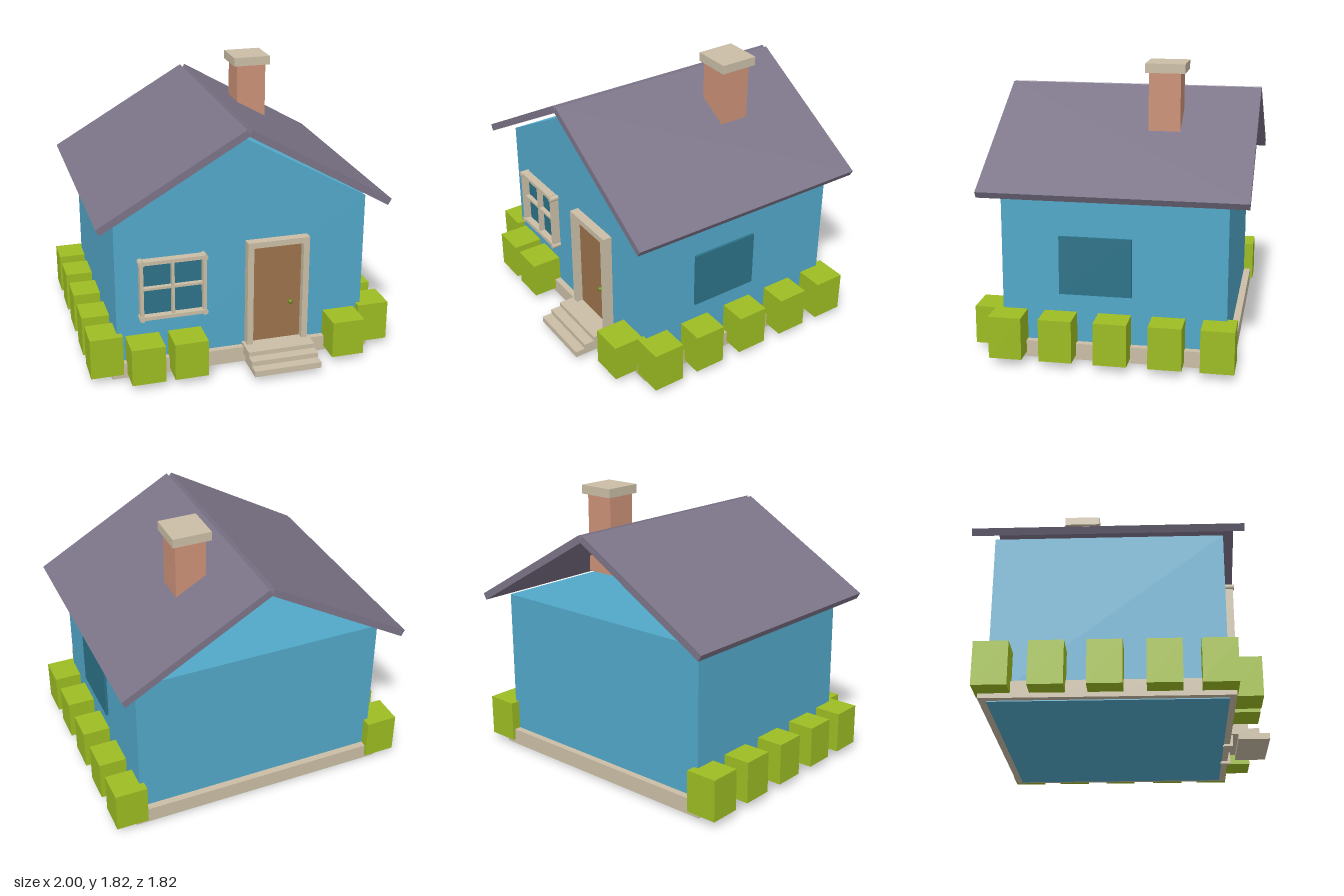
import * as THREE from 'three';

const mat = (name, color) => {
  const m = new THREE.MeshStandardMaterial({ color });
  m.name = name;
  return m;
};

export function createModel() {
  const blue = mat('wall blue', 0x52a8c9);
  const slate = mat('roof slate', 0x7c7488);
  const stone = mat('pale stone', 0xcabea6);
  const brick = mat('chimney brick', 0xcc9278);
  const teal = mat('window teal', 0x2d7388);
  const wood = mat('door wood', 0x9b734c);
  const leaf = mat('bush green', 0x9cbc22);
  const brass = mat('knob olive', 0x6a8a14);

  const house = new THREE.Group();
  house.name = 'house';

  const add = (name, geometry, material, parent = house) => {
    const mesh = new THREE.Mesh(geometry, material);
    mesh.name = name;
    parent.add(mesh);
    return mesh;
  };
  // Box given by its extents on each axis
  const box = (name, material, [x0, x1], [y0, y1], [z0, z1], parent) => {
    const mesh = add(name, new THREE.BoxGeometry(x1 - x0, y1 - y0, z1 - z0), material, parent);
    mesh.position.set((x0 + x1) / 2, (y0 + y1) / 2, (z0 + z1) / 2);
    return mesh;
  };
  const group = (name) => {
    const g = new THREE.Group();
    g.name = name;
    house.add(g);
    return g;
  };

  // Walls, with a base plinth whose underside sits just above the wall floor
  box('walls', blue, [-0.82, 0.82], [0.01, 1.075], [-0.785, 0.615]);
  box('plinth', stone, [-0.865, 0.865], [0.016, 0.12], [-0.83, 0.655]);

  // Front gable; the loft is open at the back
  const triangle = new THREE.Shape([
    new THREE.Vector2(-0.82, 1.075),
    new THREE.Vector2(0.82, 1.075),
    new THREE.Vector2(0, 1.535),
  ]);
  const gable = add('frontGable',
    new THREE.ExtrudeGeometry(triangle, { depth: 0.01, bevelEnabled: false }), blue);
  gable.position.z = 0.605;

  // Two roof slabs meeting in a small notch at the ridge
  const roof = group('roof');
  const pitch = Math.PI / 6;
  const thickness = 0.046;
  for (const side of [-1, 1]) {
    const slab = add(side < 0 ? 'rightRoofSlab' : 'leftRoofSlab',
      new THREE.BoxGeometry(1.074, thickness, 1.65), slate, roof);
    slab.position.set(
      side * (0.481 - Math.sin(pitch) * thickness / 2),
      1.353 - Math.cos(pitch) * thickness / 2,
      -0.085);
    slab.rotation.z = -side * pitch;
  }

  // Chimney
  const chimney = group('chimney');
  box('chimneyStack', brick, [0.215, 0.415], [1.24, 1.757], [-0.435, -0.235], chimney);
  box('chimneyCap', stone, [0.19, 0.44], [1.757, 1.815], [-0.465, -0.215], chimney);

  // Door with frame and knob
  const door = group('door');
  box('doorPanel', wood, [0.058, 0.392], [0.12, 0.805], [0.61, 0.63], door);
  box('doorPost', stone, [0.02, 0.06], [0, 0.82], [0.61, 0.675], door);
  box('doorPost', stone, [0.39, 0.43], [0, 0.82], [0.61, 0.675], door);
  box('doorLintel', stone, [0.02, 0.43], [0.817, 0.856], [0.61, 0.675], door);
  const knob = add('doorKnob', new THREE.SphereGeometry(0.016, 12, 8), brass, door);
  knob.position.set(0.32, 0.4, 0.643);

  // Three front steps
  const steps = group('steps');
  [[0.04, 0.08, 0.71, 0.912], [0.075, 0.112, 0.64, 0.845], [0.112, 0.142, 0.62, 0.775]]
    .forEach(([y0, y1, z0, z1]) => box('step', stone, [0, 0.445], [y0, y1], [z0, z1], steps));

  // Front window: pane, outer bars, cross bars and round corner pegs
  const win = group('frontWindow');
  const left = -0.662, right = -0.258, low = 0.42, high = 0.796;
  const bar = (x0, x1, y0, y1, depth) =>
    box('windowBar', stone, [x0, x1], [y0, y1], [0.613, depth], win);
  box('frontPane', teal, [left, right], [low, high], [0.61, 0.624], win);
  for (const x of [left, right]) bar(x - 0.011, x + 0.011, low, high, 0.67);
  for (const y of [low, high]) bar(left, right, y - 0.012, y + 0.012, 0.67);
  bar(-0.469, -0.451, low, high, 0.66);
  bar(left, right, 0.607, 0.623, 0.655);
  for (const x of [left, right]) for (const y of [low, high]) {
    const peg = add('cornerPeg', new THREE.CylinderGeometry(0.02, 0.02, 0.064, 8), stone, win);
    peg.rotation.x = Math.PI / 2;
    peg.position.set(x, y, 0.645);
  }

  // Side window
  box('sideWindow', teal, [0.815, 0.836], [0.43, 0.8], [-0.2, 0.253]);

  // Bushes along both sides and the front
  const bushes = group('bushes');
  for (const z of [-0.745, -0.428, -0.093, 0.247, 0.562]) {
    for (const side of [-1, 1]) {
      const bush = box('sideBush', leaf, [0.79, 1], [0.045, 0.314], [z - 0.103, z + 0.103], bushes);
      bush.position.x *= side;
    }
  }
  for (const x of [-0.658, -0.383, 0.665])
    box('frontBush', leaf, [x - 0.108, x + 0.108], [0.045, 0.291], [0.61, 0.815], bushes);

  return house;
}
